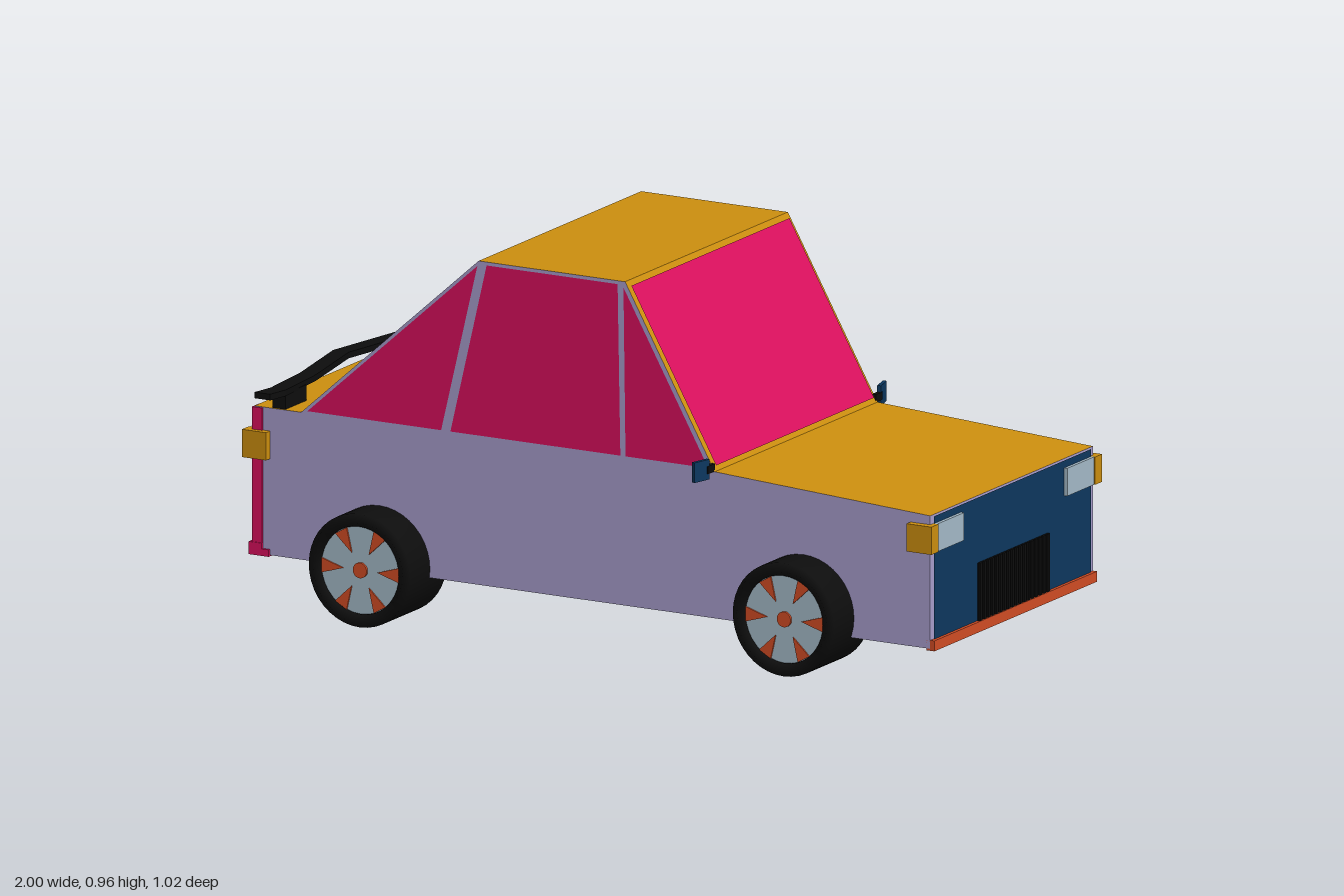
import * as THREE from 'three';

const mat = (name, color) => {
  const m = new THREE.MeshStandardMaterial({ color });
  m.name = name;
  return m;
};

export function createModel() {
  const car = new THREE.Group();
  car.name = 'car';
  const lavender = mat('lavender paint', 0xa99fce);
  const orange = mat('amber paint', 0xce900f);
  const pink = mat('pink', 0xdc105e);
  const navy = mat('navy', 0x0d3860);
  const cyan = mat('cyan', 0x0f9ac0);
  const pale = mat('pale blue', 0xa6bcca);
  const rust = mat('orange red', 0xd44d25);
  const black = mat('black', 0x0d0d0d);

  const add = (name, geometry, material, parent = car) => {
    const mesh = new THREE.Mesh(geometry, material);
    mesh.name = name;
    parent.add(mesh);
    return mesh;
  };

  // Flat convex face, turned away from the car's middle and lifted along its normal
  const middle = new THREE.Vector3(0, 0.4, 0);
  const panel = (name, corners, material, lift = 0) => {
    const p = corners.map((c) => new THREE.Vector3(...c));
    const n = p[1].clone().sub(p[0]).cross(p[2].clone().sub(p[0])).normalize();
    if (n.dot(p[0].clone().sub(middle)) < 0) { p.reverse(); n.negate(); }
    p.forEach((v) => v.addScaledVector(n, lift));
    const tris = [];
    for (let i = 1; i < p.length - 1; i++) tris.push(p[0], p[i], p[i + 1]);
    const g = new THREE.BufferGeometry().setFromPoints(tris);
    g.computeVertexNormals();
    return add(name, g, material);
  };
  // Face spanning the car's width between two side-view points
  const across = (name, a, b, w, material, lift) => panel(name,
    [[...a, w], [...b, w], [...b, -w], [...a, -w]], material, lift);
  const box = (name, x0, x1, y0, y1, z0, z1, material, parent) => {
    const m = add(name, new THREE.BoxGeometry(x1 - x0, y1 - y0, Math.abs(z1 - z0)), material, parent);
    m.position.set((x0 + x1) / 2, (y0 + y1) / 2, (z0 + z1) / 2);
    return m;
  };

  // Side-view key points
  const W = 0.41, low = 0.125;
  const rear = -0.975, nose = 0.985;
  const deckRear = [rear, 0.507], deckFront = [-0.84, 0.507];
  const roofRear = [-0.325, 0.965], roofFront = [0.1, 0.965];
  const cowl = [0.36, 0.505], hoodTip = [nose, 0.47];
  const mix = (a, b, t) => [a[0] + (b[0] - a[0]) * t, a[1] + (b[1] - a[1]) * t];

  // Body and cabin shell
  across('hood', cowl, hoodTip, W, orange);
  across('roof', roofRear, roofFront, W, orange);
  across('trunkLid', deckRear, deckFront, W, orange);
  across('windshieldFrame', roofFront, cowl, W, orange);
  across('rearWindowFrame', deckFront, roofRear, W, cyan);
  across('floor', [rear, low], [nose, low], W, pink);
  across('rearFace', [rear, low], deckRear, W, pink);
  across('noseEdge', [nose, low], hoodTip, W, lavender);
  across('frontFace', [nose, low], [nose, 0.466], 0.395, navy, 0.003);
  across('windshield', mix(roofFront, cowl, 0.03), mix(roofFront, cowl, 0.975), 0.398, pink, 0.004);
  across('rearWindow', mix(roofRear, deckFront, 0.245), mix(roofRear, deckFront, 0.985), 0.4, pink, 0.004);

  for (const s of [1, -1]) {
    const side = (name, pts, material, lift) =>
      panel(name, pts.map((p) => [...p, s * W]), material, lift);
    side('bodySide', [[rear, low], [nose, low], hoodTip, cowl, deckFront, deckRear], lavender);
    side('cabinSide', [deckFront, cowl, roofFront, roofRear], lavender);
    side('rearSideWindow', [[-0.82, 0.513], [-0.432, 0.513], [-0.327, 0.952]], pink, 0.003);
    side('middleSideWindow', [[-0.405, 0.513], [0.088, 0.513], [0.08, 0.957], [-0.3, 0.957]], pink, 0.003);
    side('frontSideWindow', [[0.103, 0.513], [0.343, 0.513], [0.097, 0.95]], pink, 0.003);

    // Lamps
    box('headlight', 0.975, 0.997, 0.375, 0.447, s * 0.26, s * 0.4, pale);
    box('tailLight', -0.997, -0.965, 0.375, 0.447, s * 0.26, s * 0.4, pale);
    box('frontIndicator', 0.928, 1, 0.375, 0.447, s * 0.395, s * 0.43, orange);
    box('rearIndicator', -1, -0.93, 0.375, 0.447, s * 0.395, s * 0.43, orange);

    // Rear corner trim
    box('rearCorner', -0.98, -0.95, low, 0.505, s * 0.38, s * 0.415, pink);

    // Door mirror
    const mirror = new THREE.Group();
    mirror.name = 'mirror';
    car.add(mirror);
    box('mirrorArm', 0.346, 0.358, 0.505, 0.525, s * 0.405, s * 0.44, black, mirror);
    box('mirrorShell', 0.341, 0.351, 0.49, 0.542, s * 0.43, s * 0.483, navy, mirror).rotation.y = -s * 0.25;
  }

  // Grille and bumpers
  box('grille', 0.975, 0.991, 0.147, 0.297, -0.178, 0.178, black);
  for (let i = 0; i < 18; i++) {
    const z = -0.17 + i * 0.02;
    box('grilleBar', 0.985, 0.996, 0.147, 0.297, z - 0.005, z + 0.005, black);
  }
  box('frontBumper', 0.975, 0.997, 0.12, 0.147, -W, W, rust);
  box('rearBumper', -0.988, -0.95, 0.122, 0.155, -0.417, 0.417, pink);
  box('rearBumperFoot', -0.985, -0.93, 0.122, 0.14, -0.417, 0.417, pink);

  // Swept spoiler: leading edge out and back along the trailing edge
  const edge = [[-0.47, -0.94], [-0.41, -0.928], [-0.24, -0.94], [0, -0.983],
    [0.24, -0.94], [0.41, -0.928], [0.47, -0.94]];
  const outline = edge.map(([z, x]) => new THREE.Vector2(x, -z))
    .concat(edge.slice().reverse().map(([z, x]) => new THREE.Vector2(x + 0.045, -z)));
  const wing = new THREE.ExtrudeGeometry(new THREE.Shape(outline), { depth: 0.016, bevelEnabled: false });
  wing.rotateX(-Math.PI / 2);
  add('spoiler', wing, black).position.y = 0.544;
  for (const s of [1, -1])
    box('spoilerSupport', -0.925, -0.888, 0.5, 0.548, s * 0.3, s * 0.405, black);

  // Wheels
  const half = 0.0925, R = 0.147, rimR = 0.114;
  const tyre = new THREE.LatheGeometry([
    [rimR, -half], [R, -half], [R, half], [rimR, half], [rimR, -half],
  ].map(([r, y]) => new THREE.Vector2(r, y)), 40);
  tyre.rotateX(Math.PI / 2);
  const disc = (r, h) => new THREE.CylinderGeometry(r, r, h, 32).rotateX(Math.PI / 2);
  const rim = disc(rimR, half * 2 - 0.014);
  const hub = disc(0.02, half * 2 - 0.002);
  const wedge = new THREE.Shape([[0.05, 0], [0.085, -0.011], [0.112, -0.019], [0.112, 0.019], [0.085, 0.011]]
    .map(([x, y]) => new THREE.Vector2(x, y)));
  const depth = half * 2 - 0.006;
  const spoke = new THREE.ExtrudeGeometry(wedge, { depth, bevelEnabled: false }).translate(0, 0, -depth / 2);

  for (const [name, x, y] of [['frontWheel', 0.617, 0.176], ['rearWheel', -0.613, R]]) {
    for (const s of [1, -1]) {
      const wheel = new THREE.Group();
      wheel.name = name;
      wheel.position.set(x, y, s * 0.4175);
      add('tyre', tyre, black, wheel);
      add('rim', rim, pale, wheel);
      add('hub', hub, rust, wheel);
      for (let i = 0; i < 6; i++) add('spoke', spoke, rust, wheel).rotation.z = (i * Math.PI) / 3;
      car.add(wheel);
    }
  }
  return car;
}
